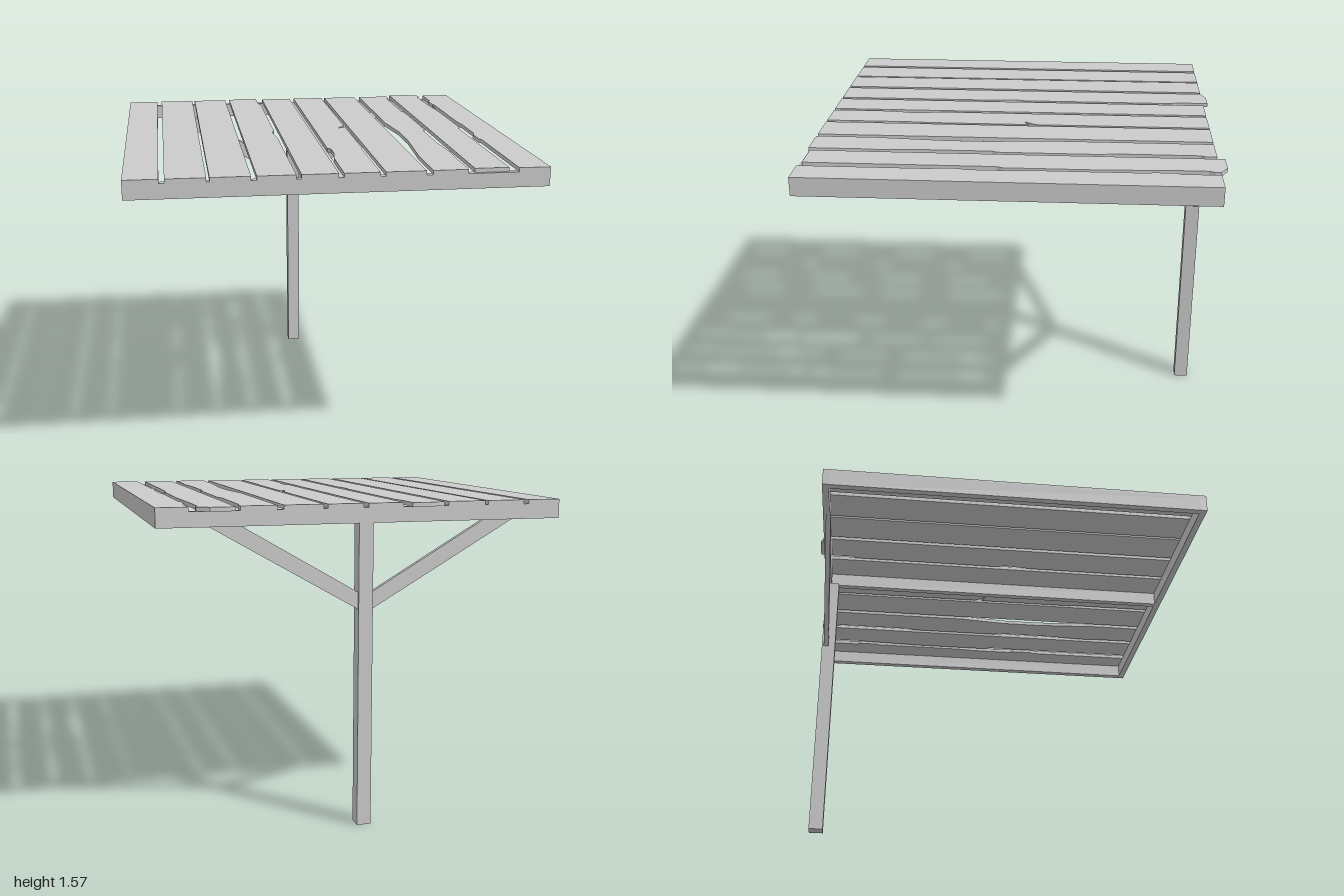
import * as THREE from 'three';

const material = new THREE.MeshStandardMaterial({ color: 0xcccccc, flatShading: true });
const BACK = -0.965, FRONT = 1, HALF = 0.98;
const BOTTOM = 1.475, DECK = 1.547, TOP = 1.567, RAIL = 0.034;

function add(group, name, geometry) {
  const mesh = new THREE.Mesh(geometry, material);
  mesh.name = name;
  group.add(mesh);
  return mesh;
}

// Box given by its two opposite corners
function block(group, name, [x0, y0, z0], [x1, y1, z1]) {
  add(group, name, new THREE.BoxGeometry(x1 - x0, y1 - y0, z1 - z0))
    .position.set((x0 + x1) / 2, (y0 + y1) / 2, (z0 + z1) / 2);
}

function extrude(points, depth) {
  const shape = new THREE.Shape(points.map(([x, y]) => new THREE.Vector2(x, y)));
  return new THREE.ExtrudeGeometry(shape, { depth, bevelEnabled: false });
}

// Plank outline: left and right edges as [x, z] points, from back to front
function plank(group, name, left, right) {
  const outline = [...left, ...right.slice().reverse()].map(([x, z]) => [x, -z]);
  const geometry = extrude(outline, TOP - DECK);
  geometry.rotateX(-Math.PI / 2);
  add(group, name, geometry).position.y = DECK;
}

const straight = (x) => [[x, BACK], [x, FRONT]];

export function createModel() {
  const model = new THREE.Group();
  model.name = 'plankCanopy';

  // Post
  block(model, 'post', [-0.035, 0, -0.96], [0.035, BOTTOM, -0.888]);

  // Frame under the planks
  const frame = new THREE.Group();
  frame.name = 'frame';
  model.add(frame);
  block(frame, 'backRail', [-HALF, BOTTOM, BACK], [HALF, DECK, BACK + RAIL]);
  block(frame, 'frontRail', [-HALF, BOTTOM, FRONT - RAIL], [HALF, DECK, FRONT]);
  block(frame, 'centreBeam', [-0.016, BOTTOM, BACK + RAIL], [0.016, DECK, FRONT - RAIL]);
  for (const [name, x] of [['rightRail', -HALF], ['leftRail', HALF - RAIL]]) {
    block(frame, name, [x, BOTTOM, BACK + RAIL], [x + RAIL, DECK, FRONT - RAIL]);
  }

  // Diagonal braces from post to back rail
  for (const [name, s] of [['leftBrace', 1], ['rightBrace', -1]]) {
    const points = [[0.035, 1.068], [0.74, BOTTOM], [0.59, BOTTOM], [0.035, 1.15]];
    add(model, name, extrude(points.map(([x, y]) => [s * x, y]), 0.025)).position.z = -0.95;
  }

  // Planks: whole ones are straight, worn ones have ragged edges and broken ends
  const deck = new THREE.Group();
  deck.name = 'planks';
  model.add(deck);
  const edges = [
    [straight(-HALF), straight(-0.818)],
    [straight(-0.793), straight(-0.607)],
    [straight(-0.593), straight(-0.407)],
    [[[-0.382, BACK], [-0.382, FRONT]],
      [[-0.318, -0.99], [-0.217, -0.99], [-0.217, -0.82], [-0.204, -0.8], [-0.204, 0],
        [-0.217, 0.05], [-0.204, 0.2], [-0.204, FRONT]]],
    [straight(-0.18), straight(-0.01)],
    [[[0.014, BACK], [0.014, 0.47], [0.03, 0.49], [0.03, 0.59], [0.014, 0.69], [0.014, FRONT]],
      [[0.187, BACK], [0.187, -0.085], [0.143, -0.02], [0.187, -0.045], [0.187, 0.48],
        [0.181, 0.52], [0.181, FRONT]]],
    [straight(0.206), straight(0.395)],
    [[[0.425, BACK], [0.425, -0.13], [0.45, 0.13], [0.45, 0.34], [0.425, 0.71], [0.425, FRONT]],
      [[0.597, BACK], [0.597, -0.91], [0.586, -0.89], [0.586, -0.46], [0.598, -0.43],
        [0.598, 0.08], [0.585, 0.11], [0.585, 0.42], [0.598, 0.64], [0.592, 0.74], [0.592, FRONT]]],
    [[[0.624, -1], [0.624, 0.985]],
      [[0.74, -1], [0.798, BACK], [0.798, -0.94], [0.785, -0.91], [0.785, -0.78],
        [0.8, -0.4], [0.8, 0.04], [0.787, 0.07], [0.787, 0.985]]],
    [[[0.83, BACK], [0.83, -0.78], [0.817, -0.76], [0.817, -0.65], [0.825, -0.64], [0.825, -0.13],
      [0.833, -0.02], [0.833, 0.21], [0.82, 0.24], [0.82, 0.35], [0.83, 0.37], [0.83, FRONT]],
    straight(HALF)],
  ];
  edges.forEach(([left, right], i) => plank(deck, `plank${i + 1}`, left, right));

  return model;
}
